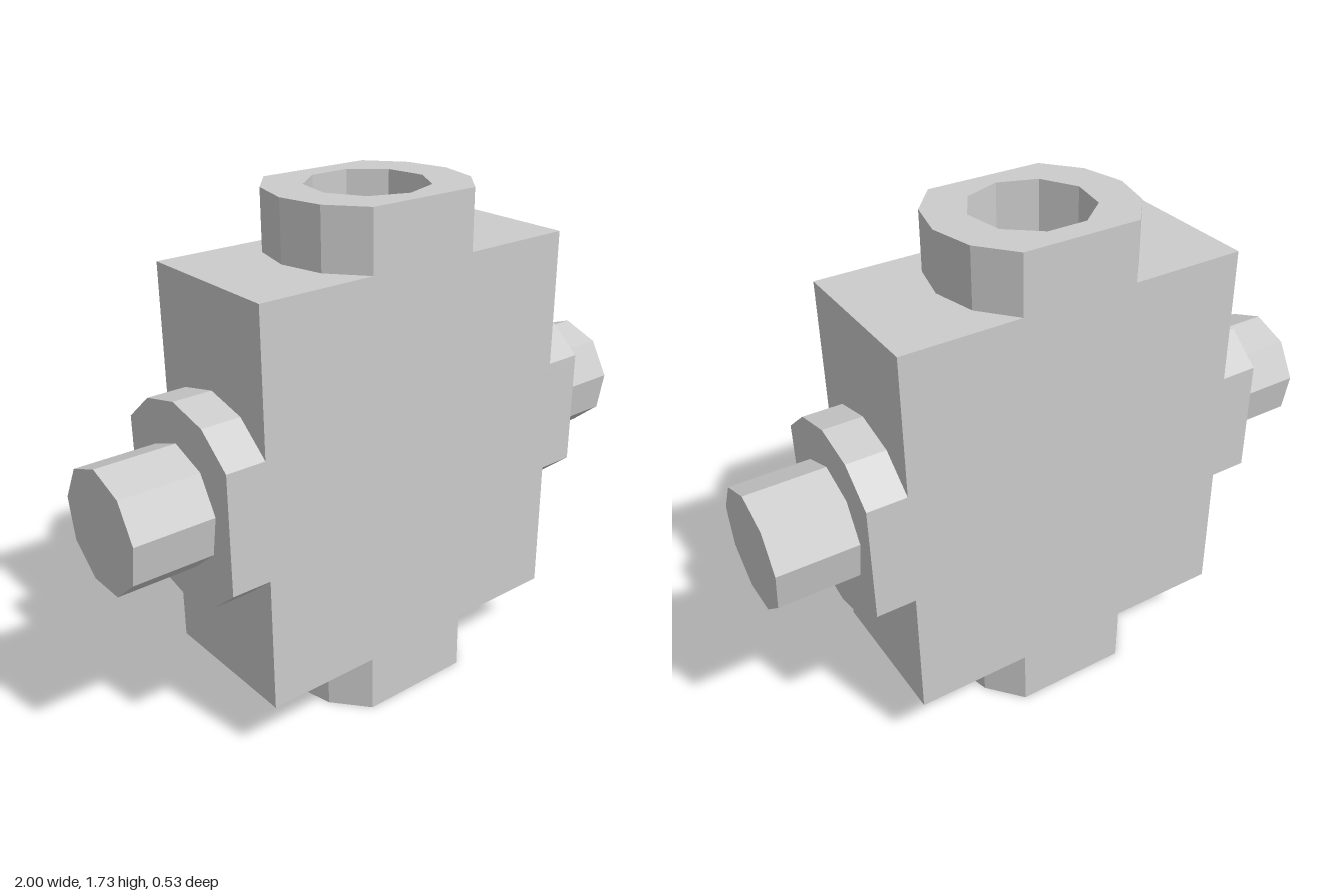
import * as THREE from 'three';

const MID = 0.867;            // height of the centre
const HALF_DEPTH = 0.267;
const BORE = 0.2;
const SIDES = 9;

const material = new THREE.MeshStandardMaterial({ color: 0xcccccc, flatShading: true });

function mesh(name, geometry) {
  const m = new THREE.Mesh(geometry, material);
  m.name = name;
  return m;
}

// Faceted disc trimmed flat along its two long sides
function collarShape() {
  const side = [[0.2, -HALF_DEPTH], [0.298, -0.149], [0.333, 0], [0.298, 0.149], [0.2, HALF_DEPTH]];
  const points = [...side, ...side.map(([x, y]) => [-x, -y])];
  return new THREE.Shape(points.map(([x, y]) => new THREE.Vector2(x, y)));
}

function bodyShape() {
  return new THREE.Shape([[-0.6, -HALF_DEPTH], [0.6, -HALF_DEPTH], [0.6, HALF_DEPTH], [-0.6, HALF_DEPTH]]
    .map(([x, y]) => new THREE.Vector2(x, y)));
}

// Nine-sided bore with one corner towards the front
function addBore(shape) {
  const points = [];
  for (let i = 0; i < SIDES; i++) {
    const a = -Math.PI / 2 - (i * 2 * Math.PI) / SIDES;
    points.push(new THREE.Vector2(BORE * Math.cos(a), BORE * Math.sin(a)));
  }
  shape.holes.push(new THREE.Path(points));
  return shape;
}

function extrude(shape, depth) {
  return new THREE.ExtrudeGeometry(shape, { depth, bevelEnabled: false });
}

// Half of the block with its bored collar, growing up from the centre
function createHalf(name) {
  const half = new THREE.Group();
  half.name = name;
  half.add(mesh('bodyBlock', extrude(addBore(bodyShape()), 0.667).rotateX(-Math.PI / 2)));
  half.add(mesh('boredCollar',
    extrude(addBore(collarShape()), 0.2).rotateX(-Math.PI / 2).translate(0, 0.667, 0)));
  return half;
}

// Side collar and solid pin, pointing along +x
function createTrunnion(name) {
  const trunnion = new THREE.Group();
  trunnion.name = name;
  trunnion.add(mesh('sideCollar',
    extrude(collarShape(), 0.133).rotateZ(Math.PI / 2).rotateY(Math.PI / 2).translate(0.6, 0, 0)));
  trunnion.add(mesh('pin',
    new THREE.CylinderGeometry(0.2, 0.2, 0.267, SIDES)
      .rotateX(-Math.PI / 2).rotateY(Math.PI / 2).translate(0.8665, 0, 0)));
  return trunnion;
}

export function createModel() {
  const model = new THREE.Group();
  model.name = 'crossBlock';

  const upper = createHalf('upperHalf');
  const lower = createHalf('lowerHalf');
  lower.rotation.x = Math.PI;

  const left = createTrunnion('leftTrunnion');
  const right = createTrunnion('rightTrunnion');
  right.rotation.y = Math.PI;

  for (const part of [upper, lower, left, right]) {
    part.position.y = MID;
    model.add(part);
  }
  return model;
}
